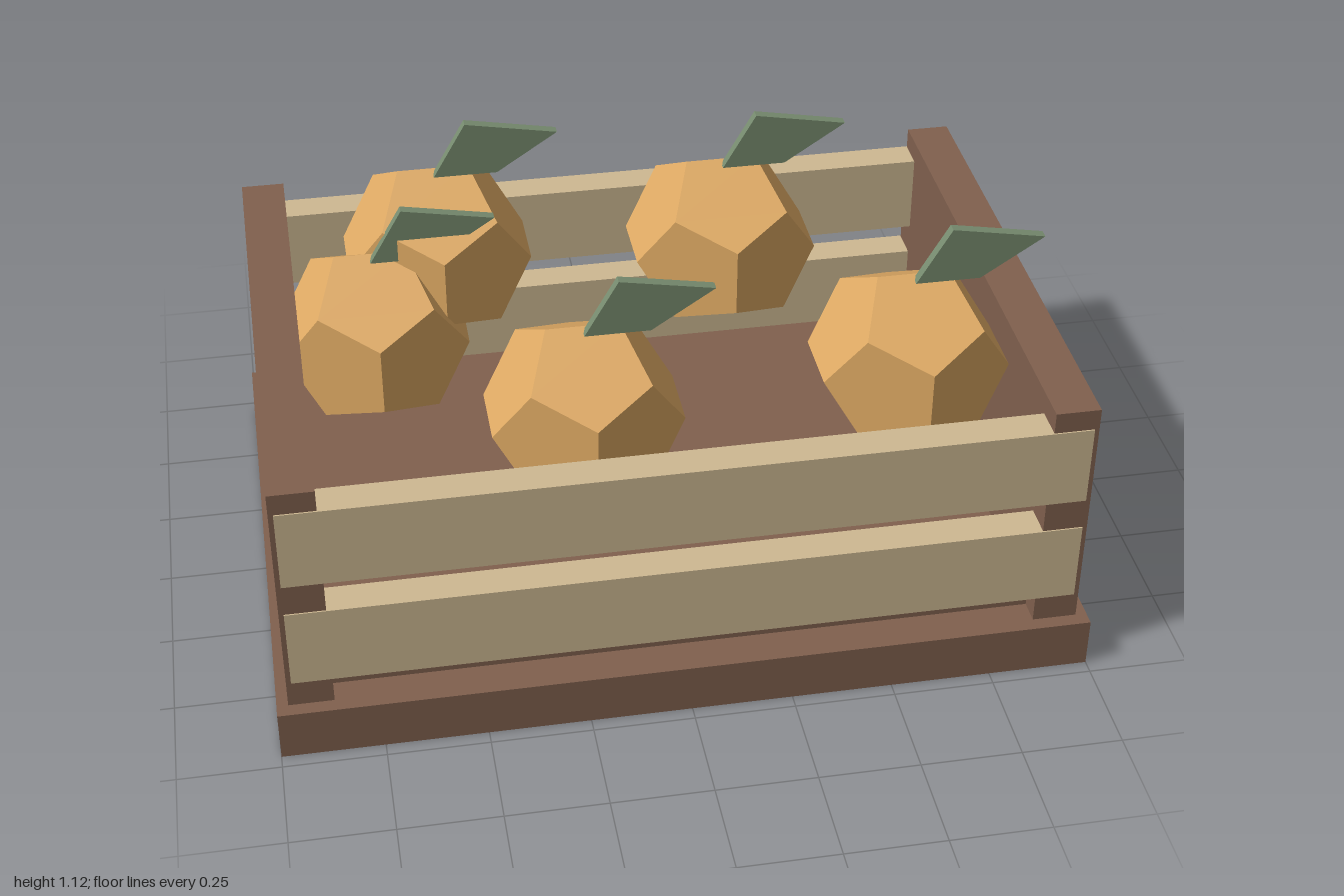
import * as THREE from 'three';

const material = (name, color) => {
  const m = new THREE.MeshStandardMaterial({ color, flatShading: true });
  m.name = name;
  return m;
};

export function createModel() {
  const group = new THREE.Group();
  const darkWood = material('dark wood', 0x80604e);
  const paleWood = material('pale wood', 0xceb992);
  const fruitSkin = material('orange fruit', 0xdfaa64);
  const leafGreen = material('leaf green', 0x778c6f);

  const add = (parent, name, geometry, mat, x, y, z) => {
    const mesh = new THREE.Mesh(geometry, mat);
    mesh.name = name;
    mesh.position.set(x, y, z);
    parent.add(mesh);
    return mesh;
  };

  // Crate: plinth, raised floor, solid ends
  add(group, 'base', new THREE.BoxGeometry(2, 0.13, 1.43), darkWood, 0, 0.065, 0);
  add(group, 'floor', new THREE.BoxGeometry(1.74, 0.045, 1.24), darkWood, 0, 0.1425, 0);
  for (const [side, s] of [['left', 1], ['right', -1]]) {
    add(group, side + 'EndPanel', new THREE.BoxGeometry(0.11, 0.63, 1.36), darkWood, s * 0.917, 0.443, 0);
  }

  // Two slats on the front and on the back
  for (const [side, s] of [['front', 1], ['back', -1]]) {
    for (const [level, y] of [['Lower', 0.305], ['Upper', 0.598]]) {
      add(group, side + level + 'Slat', new THREE.BoxGeometry(1.92, 0.21, 0.085), paleWood, 0, y, s * 0.641);
    }
  }

  // Fruit: a faceted body with one flat slanted leaf
  const bodyGeometry = new THREE.DodecahedronGeometry(0.25);
  const leafShape = new THREE.Shape([
    new THREE.Vector2(0, 0.223),
    new THREE.Vector2(0.16, 0.223),
    new THREE.Vector2(0.315, 0.325),
    new THREE.Vector2(0.083, 0.367),
  ]);
  const leafGeometry = new THREE.ExtrudeGeometry(leafShape, { depth: 0.025, bevelEnabled: false });
  leafGeometry.translate(0, 0, -0.0125);

  const fruitPositions = [
    [-0.2, 0.652, 0.315],
    [0.622, 0.668, 0.25],
    [0.25, 0.722, -0.28],
    [-0.488, 0.752, -0.306],
    [-0.668, 0.6, -0.17],
  ];
  fruitPositions.forEach((p, i) => {
    const fruit = new THREE.Group();
    fruit.name = 'fruit' + (i + 1);
    fruit.position.set(...p);
    add(fruit, 'fruitBody', bodyGeometry, fruitSkin, 0, 0, 0);
    add(fruit, 'leaf', leafGeometry, leafGreen, 0, 0, 0.017);
    group.add(fruit);
  });

  return group;
}
